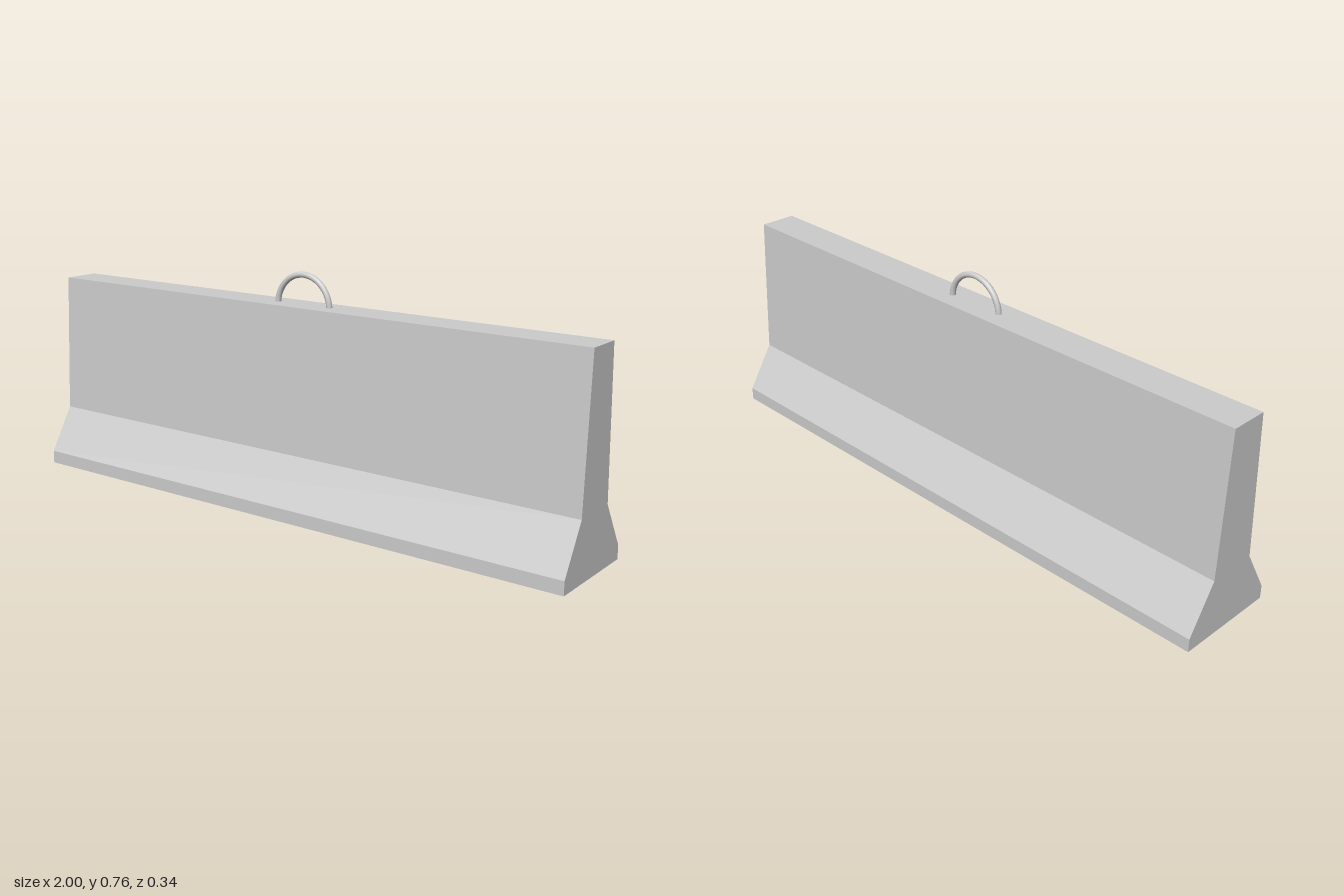
import * as THREE from 'three';

export function createModel() {
  const group = new THREE.Group();
  group.name = 'roadBarrier';

  // Concrete body: stepped cross-section (z, y) swept along x
  const profile = [
    [0.17, 0], [0.17, 0.043], [0.084, 0.19], [0.064, 0.656],
    [-0.059, 0.656], [-0.079, 0.19], [-0.17, 0.043], [-0.17, 0],
  ];
  const shape = new THREE.Shape(profile.map(([z, y]) => new THREE.Vector2(-z, y)));
  const bodyGeometry = new THREE.ExtrudeGeometry(shape, { depth: 2, bevelEnabled: false });
  bodyGeometry.translate(0, 0, -1).rotateY(Math.PI / 2);
  const body = new THREE.Mesh(
    bodyGeometry,
    new THREE.MeshStandardMaterial({ color: 0xcccccc, flatShading: true })
  );
  body.name = 'barrierBody';
  group.add(body);

  // Lifting loop: half ring with its ends set into the top
  const loop = new THREE.Mesh(
    new THREE.TorusGeometry(0.1, 0.0095, 16, 40, Math.PI),
    new THREE.MeshStandardMaterial({ color: 0xcccccc })
  );
  loop.name = 'liftingLoop';
  loop.position.set(0, 0.649, 0.0025);
  group.add(loop);

  return group;
}
